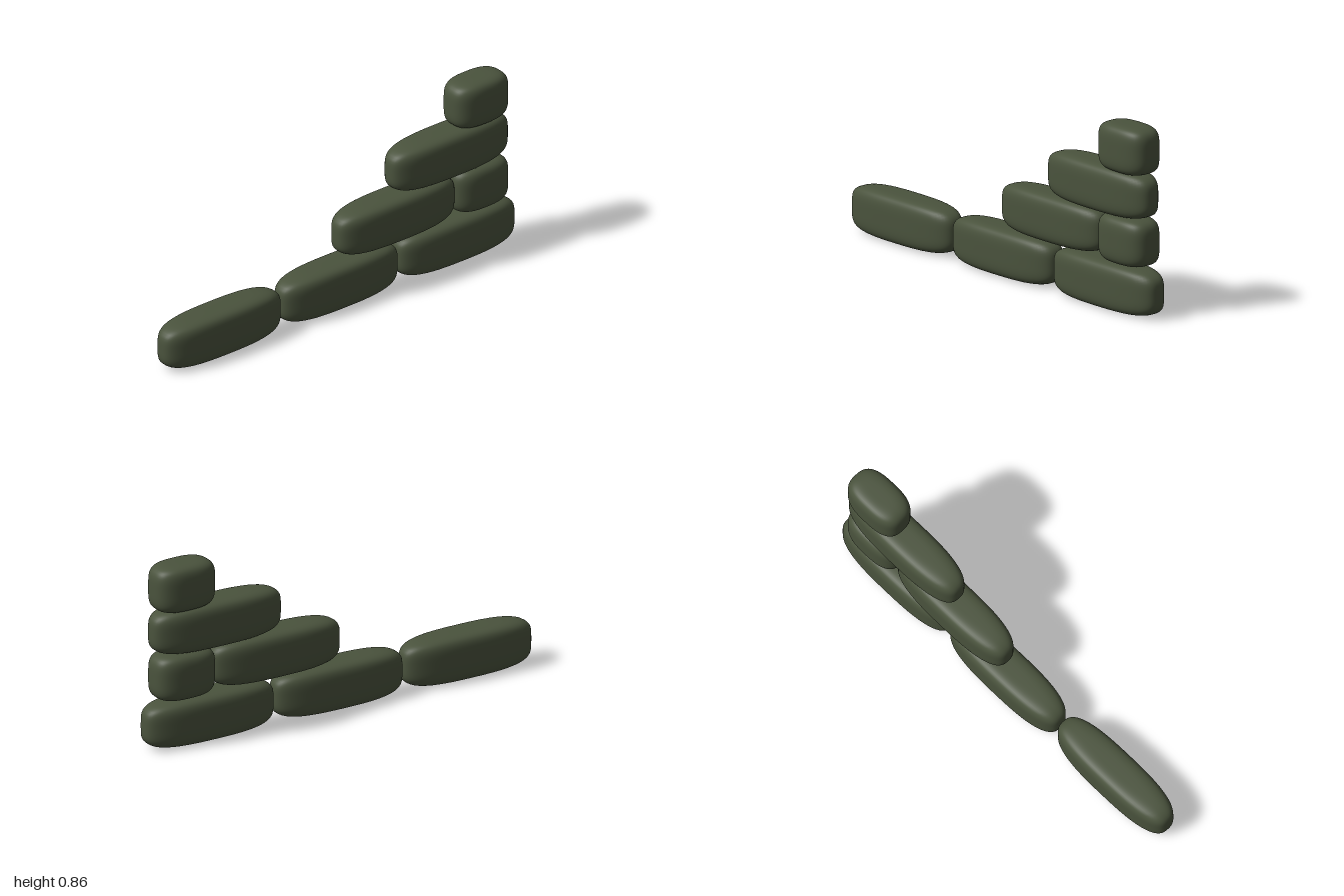
import * as THREE from 'three';
import { mergeVertices } from 'three/addons/utils/BufferGeometryUtils.js';

// Plump sack: a cube grid pushed out to a rounded form of half-size 1,
// softly curved in plan (PLAN) and squarer in height (RISE).
const PLAN = 2.8, RISE = 4.5;

function sackGeometry() {
  const box = new THREE.BoxGeometry(2, 2, 2, 18, 18, 18);
  box.deleteAttribute('uv');
  box.deleteAttribute('normal');
  const geometry = mergeVertices(box);
  const pos = geometry.attributes.position;
  const v = new THREE.Vector3();
  for (let i = 0; i < pos.count; i++) {
    v.fromBufferAttribute(pos, i);
    const plan = Math.abs(v.x) ** PLAN + Math.abs(v.z) ** PLAN;
    const size = plan ** (RISE / PLAN) + Math.abs(v.y) ** RISE;
    v.multiplyScalar(size ** (-1 / RISE));
    pos.setXYZ(i, v.x, v.y, v.z);
  }
  return geometry;
}

export function createModel() {
  const model = new THREE.Group();
  model.name = 'sandbagWall';
  const material = new THREE.MeshStandardMaterial({ color: 0x4a533d });
  const base = sackGeometry();

  const HALF_WIDTH = 0.093, HALF_HEIGHT = 0.108, LONG = 0.33, SHORT = 0.152;
  // Courses from the ground up: height of centre, then [z centre, half length] per bag
  const courses = [
    { y: 0.11, bags: [[0.668, LONG], [0, LONG], [-0.668, LONG]] },
    { y: 0.332, bags: [[-0.325, LONG], [-0.8, SHORT]] },
    { y: 0.545, bags: [[-0.63, LONG]] },
    { y: 0.75, bags: [[-0.8, SHORT]] },
  ];

  courses.forEach(({ y, bags }, row) => {
    const course = new THREE.Group();
    course.name = `course${row + 1}`;
    for (const [z, half] of bags) {
      // Scale the geometry itself so the normals stay smooth and correct
      const geometry = base.clone().scale(HALF_WIDTH, HALF_HEIGHT, half);
      geometry.computeVertexNormals();
      const bag = new THREE.Mesh(geometry, material);
      bag.name = half === LONG ? 'longSandbag' : 'halfSandbag';
      bag.position.set(0, y, z);
      course.add(bag);
    }
    model.add(course);
  });
  return model;
}
